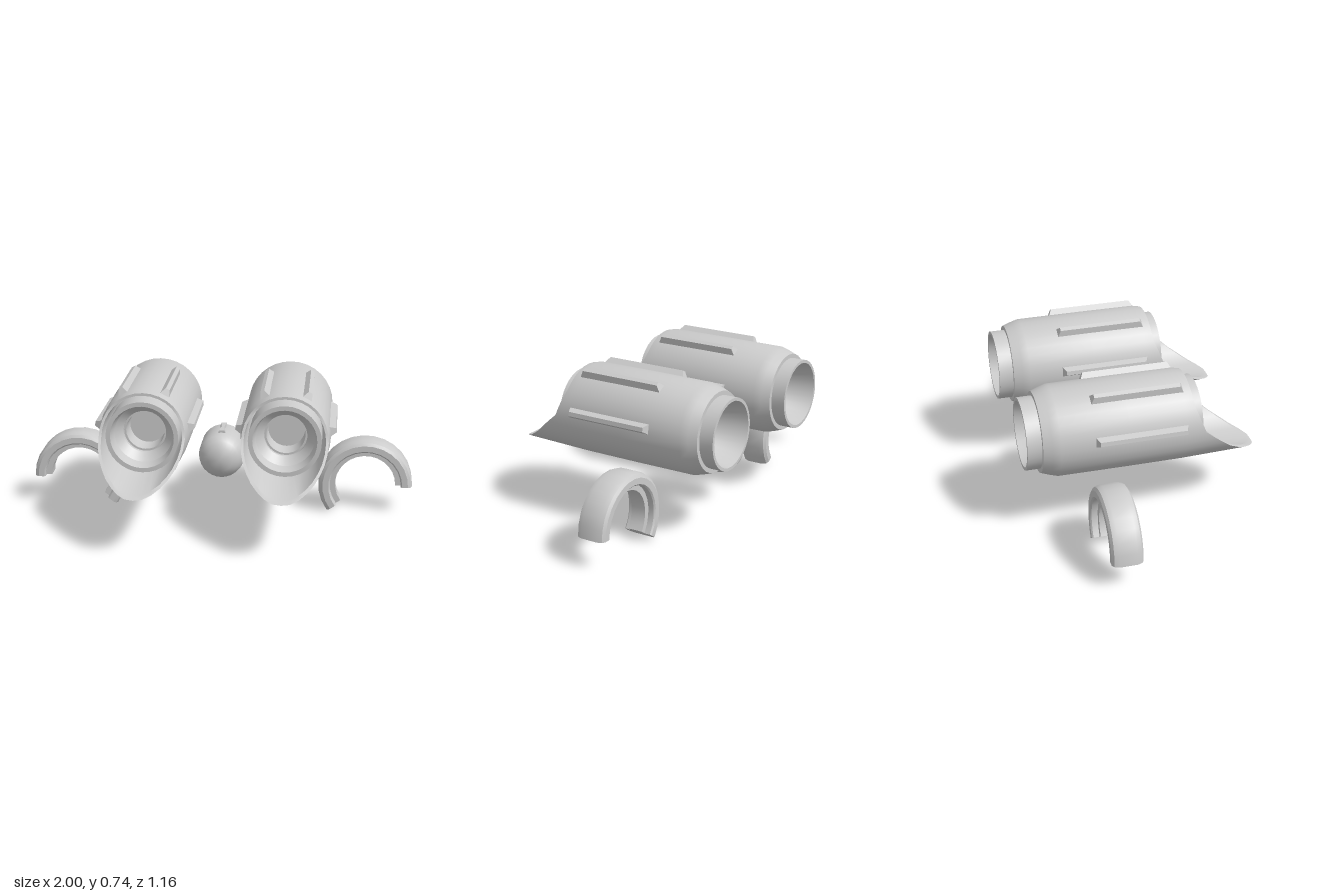
import * as THREE from 'three';
import { toCreasedNormals } from 'three/addons/utils/BufferGeometryUtils.js';

const grey = new THREE.MeshStandardMaterial({ color: 0xcccccc });
const greyDouble = new THREE.MeshStandardMaterial({ color: 0xcccccc, side: THREE.DoubleSide });
const deg = THREE.MathUtils.degToRad;

function addMesh(parent, name, geometry, material = grey) {
  const mesh = new THREE.Mesh(geometry, material);
  mesh.name = name;
  parent.add(mesh);
  return mesh;
}

// Lathe of [radius, z] points around the z axis
function latheZ(points, segments = 32, start = 0, length = Math.PI * 2) {
  const profile = points.map(([r, z]) => new THREE.Vector2(r, z));
  return new THREE.LatheGeometry(profile, segments, start, length).rotateX(Math.PI / 2);
}

// Height on the engine -> z of the slanted intake lip
const lipCurve = [[-0.22, 0.585], [-0.21, 0.58], [-0.18, 0.51], [-0.125, 0.42], [-0.06, 0.345],
  [0, 0.275], [0.06, 0.252], [0.13, 0.226], [0.22, 0.222]];
function lipZ(y) {
  for (let i = 1; i < lipCurve.length; i++) {
    const [y0, z0] = lipCurve[i - 1], [y1, z1] = lipCurve[i];
    if (y <= y1) return z0 + (z1 - z0) * Math.max(0, (y - y0) / (y1 - y0));
  }
  return 0.222;
}

// Casing: closed at the back around the nozzle, front edge pulled out into a scoop
function casingGeometry() {
  const g = latheZ([[0.175, -0.51], [0.196, -0.51], [0.211, -0.468], [0.222, -0.43], [0.223, -0.1],
    [0.222, 0.18], [0.213, 1], [0.2, 1], [0.195, 0.15], [0.19, -0.5]], 32);
  const p = g.attributes.position;
  for (let i = 0; i < p.count; i++) {
    if (p.getZ(i) > 0.9) p.setZ(i, lipZ(p.getY(i)));
  }
  return toCreasedNormals(g, deg(35));
}

// Rib: a box narrowed towards its outer face
function ribGeometry() {
  const g = new THREE.BoxGeometry(0.07, 0.055, 0.47);
  const p = g.attributes.position;
  for (let i = 0; i < p.count; i++) {
    if (p.getY(i) > 0) {
      p.setX(i, p.getX(i) * 0.3);
      p.setZ(i, p.getZ(i) * 0.89);
    }
  }
  g.translate(0, 0.2235, -0.04);
  return toCreasedNormals(g, deg(10));
}

function createEngine(x) {
  const engine = new THREE.Group();
  engine.name = 'engine';
  engine.position.set(x, 0.515, 0);
  addMesh(engine, 'casing', casingGeometry());

  // Stepped intake funnel ending in a flat disc
  const intake = latheZ([[0.18, 0.1], [0.18, 0.27], [0.158, 0.27], [0.145, 0.21], [0.107, 0.17],
    [0.107, 0.15], [0.097, 0.15], [0.092, 0.05], [0, 0.05]]);
  addMesh(engine, 'intake', toCreasedNormals(intake, deg(30)));

  // Exhaust nozzle with stepped rings and a central hub
  const nozzle = latheZ([[0, -0.45], [0.02, -0.45], [0.035, -0.42], [0.035, -0.39], [0.055, -0.39],
    [0.055, -0.42], [0.075, -0.42], [0.075, -0.39], [0.11, -0.39], [0.125, -0.42],
    [0.16, -0.58], [0.175, -0.58], [0.175, -0.5]]);
  addMesh(engine, 'nozzle', toCreasedNormals(nozzle, deg(30)));

  // Four ribs over the upper half
  const rib = ribGeometry();
  for (const angle of [8, 62, 118, 172]) {
    addMesh(engine, 'rib', rib).rotation.z = deg(angle - 90);
  }
  return engine;
}

// Open clamp ring with an inner ridge, spanning the given angles
function createClamp(x, from, to) {
  const clamp = new THREE.Group();
  clamp.name = 'clamp';
  clamp.position.set(x, 0.145, -0.224);
  const half = [[0.157, 0.038], [0.185, 0.038], [0.185, 0.068], [0.192, 0.075], [0.222, 0.075],
    [0.237, 0.065], [0.245, 0.042]];
  const mirrored = half.map(([r, z]) => [r, -z]);
  const section = [...mirrored, ...half.slice().reverse()];
  const band = latheZ([...section, section[0]], 16, deg(from + 90), deg(to - from));
  addMesh(clamp, 'clampBand', toCreasedNormals(band, deg(32)));
  const shape = new THREE.Shape(section.map(([r, z]) => new THREE.Vector2(r, z)));
  for (const angle of [from, to]) {
    const cap = new THREE.ShapeGeometry(shape).rotateX(Math.PI / 2).rotateZ(deg(angle));
    addMesh(clamp, 'clampEnd', cap, greyDouble);
  }
  return clamp;
}

// Central pod: short cylinder with domed ends and a waisted fin on top
function createPod() {
  const pod = new THREE.Group();
  pod.name = 'pod';
  pod.position.set(0, 0.285, -0.262);
  const profile = [[0, -0.16], [0.065, -0.158], [0.092, -0.135], [0.112, -0.108], [0.12, -0.082],
    [0.12, 0.075], [0.114, 0.105], [0.095, 0.132], [0.065, 0.155], [0, 0.163]];
  addMesh(pod, 'podBody', toCreasedNormals(latheZ(profile, 28), deg(40)));

  const fin = new THREE.BoxGeometry(0.056, 0.035, 0.14, 1, 1, 2);
  const p = fin.attributes.position;
  for (let i = 0; i < p.count; i++) {
    const waist = Math.abs(p.getZ(i)) < 0.01 ? 0.5 : 1;
    const taper = p.getY(i) > 0 ? 0.5 : 1;
    p.setX(i, p.getX(i) * waist * taper);
  }
  addMesh(pod, 'podFin', toCreasedNormals(fin, deg(10))).position.y = 0.114;
  return pod;
}

export function createModel() {
  const model = new THREE.Group();
  model.name = 'twinEngines';
  model.add(createEngine(-0.35), createEngine(0.35));
  model.add(createClamp(-0.755, -36, 180), createClamp(0.755, 0, 216));
  model.add(createPod());
  return model;
}
